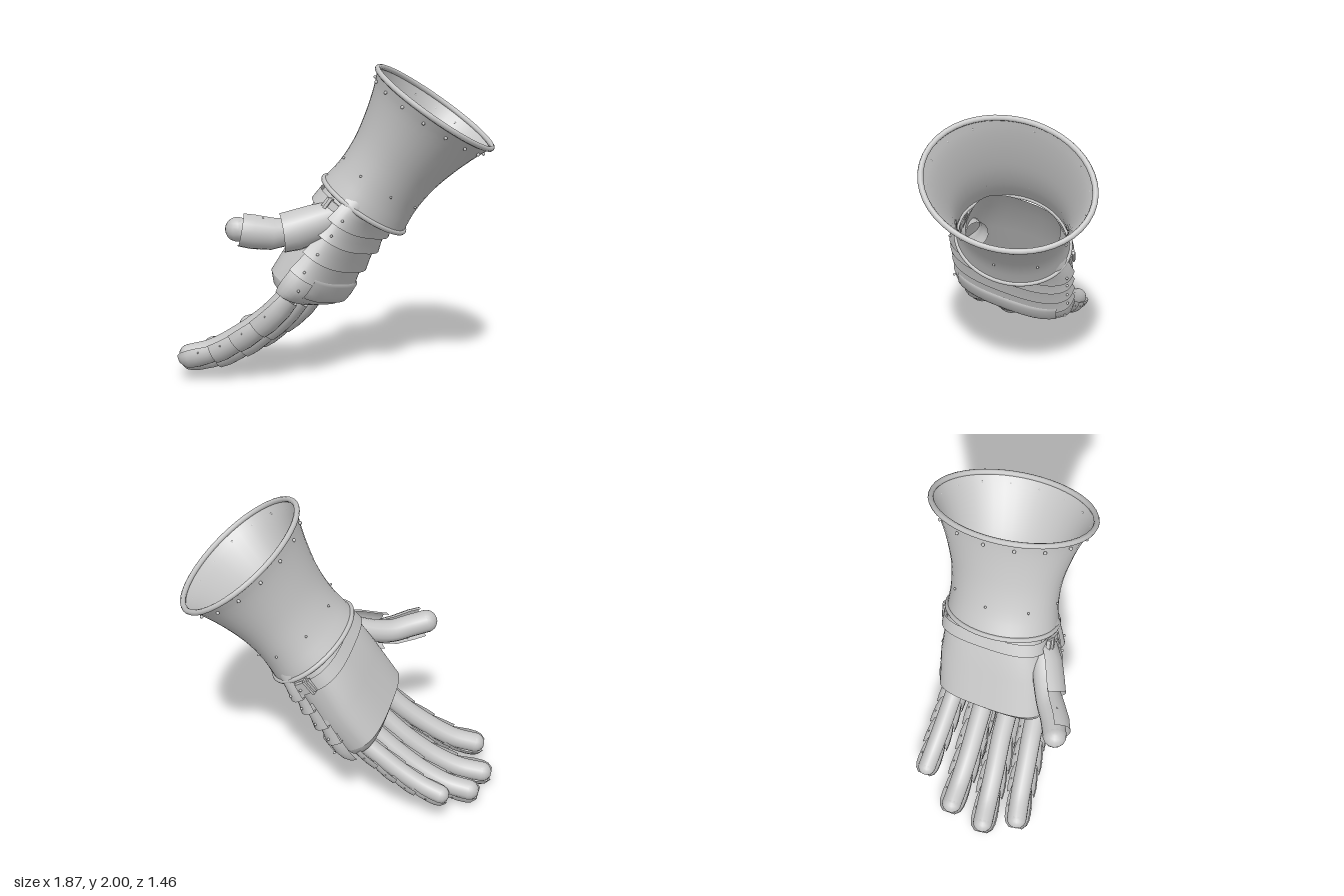
import * as THREE from 'three';

const V = (x, y, z) => new THREE.Vector3(x, y, z);
const steel = new THREE.MeshStandardMaterial({ color: 0xc6c6c6, side: THREE.DoubleSide });
steel.name = 'steel';

// Hand frame: x = back of hand, y = up the forearm, z = thumb side
const N = V(0.835, -0.55, 0).normalize();
const A = V(0.536, 0.81, -0.235).normalize();
const W = N.clone().cross(A).normalize();
const ORIGIN = V(0.15, 1.12, -0.03);

function add(parent, name, geometry, position) {
  const mesh = new THREE.Mesh(geometry, steel);
  mesh.name = name;
  if (position) mesh.position.copy(position);
  parent.add(mesh);
  return mesh;
}

// Surface through a list of cross-sections with equal point counts
function loft(rings, closed = false) {
  const n = rings[0].length, idx = [];
  for (let i = 0; i < rings.length - 1; i++) {
    for (let j = 0; j < (closed ? n : n - 1); j++) {
      const k = (j + 1) % n, a = i * n + j, b = i * n + k;
      idx.push(a, b, a + n, b, b + n, a + n);
    }
  }
  const g = new THREE.BufferGeometry().setFromPoints(rings.flat());
  g.setIndex(idx);
  g.computeVertexNormals();
  return g;
}

// Points of a rounded section at height y, between two angles
function section(y, rn, rw, { from = 0, to = Math.PI * 2, count = 40, power = 1, cn = 0, cw = 0, closed = false } = {}) {
  const soft = v => Math.sign(v) * Math.abs(v) ** power;
  return Array.from({ length: count + (closed ? 0 : 1) }, (_, i) => {
    const t = from + (to - from) * i / count;
    return V(cn + rn * soft(Math.cos(t)), y, cw + rw * soft(Math.sin(t)));
  });
}

function rivet(parent, p, r = 0.009) {
  add(parent, 'rivet', new THREE.SphereGeometry(r, 8, 6), p);
}

// Flared forearm cuff with rolled rims
function buildCuff(parent) {
  const profile = new THREE.CatmullRomCurve3([
    V(0.42, 0.757, 0.52), V(0.38, 0.66, 0.465), V(0.328, 0.5, 0.405),
    V(0.287, 0.32, 0.362), V(0.277, 0.15, 0.352), V(0.295, 0, 0.365)]);
  const ringAt = t => {
    const p = profile.getPoint(t);
    return section(p.y, p.x, p.z, { closed: true });
  };
  add(parent, 'cuff', loft(Array.from({ length: 17 }, (_, i) => ringAt(i / 16)), true));
  for (const [t, r] of [[0, 0.018], [1, 0.016]]) {
    const rim = new THREE.CatmullRomCurve3(ringAt(t), true);
    add(parent, 'cuffRim', new THREE.TubeGeometry(rim, 48, r, 8, true));
  }
  for (const [t, count, r] of [[0.13, 16, 0.011], [0.75, 8, 0.008]]) {
    const p = profile.getPoint(t);
    section(p.y, p.x + r * 0.8, p.z + r * 0.8, { count, closed: true }).forEach(q => rivet(parent, q, r));
  }
}

// Leather palm, closed at the knuckle end
function buildPalm(parent) {
  const palmRing = (y, lo, hi, w, extra = {}) =>
    section(y, (hi - lo) / 2, w, { cn: (hi + lo) / 2, cw: -0.01, power: 0.72, closed: true, ...extra });
  add(parent, 'palm', loft([
    palmRing(0.16, -0.2, 0.22, 0.29), palmRing(-0.08, -0.235, 0.15, 0.33),
    palmRing(-0.35, -0.205, 0.16, 0.365), palmRing(-0.64, -0.18, 0.15, 0.365)], true));
  add(parent, 'palmEnd', loft([palmRing(-0.64, -0.18, 0.15, 0.365), palmRing(-0.69, -0.12, 0.13, 0.345),
    palmRing(-0.72, -0.03, 0.1, 0.3), palmRing(-0.725, 0.03, 0.04, 0.02)], true));

  // Wrist strap across the palm with buckles at both ends
  const arc = { from: Math.PI * 0.45, to: Math.PI * 1.55, closed: false };
  add(parent, 'wristStrap', loft([palmRing(-0.04, -0.25, 0.17, 0.35, arc), palmRing(-0.13, -0.252, 0.17, 0.36, arc)]));
  for (const s of [-1, 1]) {
    add(parent, 'buckle', new THREE.BoxGeometry(0.12, 0.09, 0.025), V(-0.03, -0.08, s * 0.365));
    add(parent, 'bucklePin', new THREE.BoxGeometry(0.02, 0.11, 0.04), V(-0.06, -0.08, s * 0.37));
    rivet(parent, V(0.01, -0.08, s * 0.38));
  }
}

// Overlapping plates on the back of the hand
function buildLames(parent) {
  const lameRing = (y, top, w) => section(y, top - 0.03, w,
    { from: -Math.PI * 0.52, to: Math.PI * 0.52, count: 28, cn: 0.03, power: 0.75 });
  const edges = [0.03, -0.13, -0.245, -0.39, -0.53];
  for (let i = 0; i < 4; i++) {
    const grow = i * 0.007, y = edges[i + 1];
    add(parent, 'handLame', loft([
      lameRing(edges[i] + 0.04, i ? 0.15 + grow : 0.18, i ? 0.37 : 0.345),
      lameRing((edges[i] + y) / 2, 0.174 + grow, 0.395),
      lameRing(y, 0.195 + grow, 0.418)]));
    // Turned-under lower lip
    add(parent, 'lameLip', loft([lameRing(y, 0.195 + grow, 0.418), lameRing(y - 0.004, 0.165 + grow, 0.385)]));
    for (const s of [-1, 1]) rivet(parent, V(0.09, y + 0.045, s * 0.398));
  }
  // Knuckle plate curling over the finger roots
  add(parent, 'knucklePlate', loft([
    lameRing(-0.47, 0.195, 0.385), lameRing(-0.54, 0.212, 0.405), lameRing(-0.61, 0.212, 0.415),
    lameRing(-0.665, 0.19, 0.412), lameRing(-0.7, 0.15, 0.4)]));
  const band = { from: -Math.PI * 0.29, to: Math.PI * 0.29, count: 20, cn: 0.03, power: 0.75 };
  add(parent, 'knuckleBand', loft([[-0.49, 0.175], [-0.505, 0.193], [-0.58, 0.199], [-0.625, 0.194], [-0.635, 0.168]]
    .map(([y, r]) => section(y, r, 0.415, band))));
  for (const s of [-1, 1]) rivet(parent, V(0.13, -0.6, s * 0.395));
}

// Gloved digit with shingled plates on its outer side
function buildDigit(parent, name, points, radius, outward, spans, plateRadius) {
  const digit = new THREE.Group();
  digit.name = name;
  parent.add(digit);
  const path = new THREE.CatmullRomCurve3(points.map(p => V(...p)));
  add(digit, 'gloveTube', new THREE.TubeGeometry(path, 24, radius, 14));
  add(digit, 'gloveTip', new THREE.SphereGeometry(radius, 14, 10), path.getPoint(1));

  const arcAt = (t, r, push = 0) => {
    const tangent = path.getTangentAt(t);
    const up = outward.clone().addScaledVector(tangent, -outward.dot(tangent)).normalize();
    const side = tangent.clone().cross(up);
    const centre = path.getPointAt(t).addScaledVector(tangent, push);
    return Array.from({ length: 11 }, (_, i) => {
      const a = (i / 10 - 0.5) * Math.PI * 1.06;
      return centre.clone().addScaledVector(up, r * Math.cos(a)).addScaledVector(side, r * Math.sin(a));
    });
  };
  spans.forEach(([t0, t1], i) => {
    const r = plateRadius[i], at = f => t0 + (t1 - t0) * f;
    const rings = [arcAt(t0, r * 0.8), arcAt(at(0.35), r * 0.95), arcAt(at(0.75), r * 1.01), arcAt(t1, r * 0.98)];
    // The last plate closes round the fingertip
    if (t1 === 1) rings.push(arcAt(1, r * 0.85, radius * 0.55), arcAt(1, r * 0.5, radius));
    add(digit, 'digitPlate', loft(rings));
    const edge = arcAt(at(0.6), r * 0.96);
    for (const k of [1, 9]) rivet(digit, edge[k], 0.006);
  });
}

export function createModel() {
  const model = new THREE.Group();
  model.name = 'gauntlet';

  const hand = new THREE.Group();
  hand.name = 'cuffAndHand';
  hand.applyMatrix4(new THREE.Matrix4().makeBasis(N, A, W).setPosition(ORIGIN));
  model.add(hand);
  buildCuff(hand);
  buildPalm(hand);
  buildLames(hand);

  const fingers = {
    indexFinger: [[-0.1, 0.64, 0.38], [-0.17, 0.55, 0.42], [-0.27, 0.445, 0.455], [-0.42, 0.325, 0.51], [-0.6, 0.215, 0.575], [-0.745, 0.17, 0.635]],
    middleFinger: [[-0.13, 0.6, 0.2], [-0.21, 0.5, 0.235], [-0.37, 0.345, 0.28], [-0.55, 0.205, 0.34], [-0.72, 0.12, 0.395], [-0.87, 0.09, 0.445]],
    ringFinger: [[-0.13, 0.6, 0.04], [-0.21, 0.5, 0.06], [-0.37, 0.355, 0.095], [-0.55, 0.22, 0.135], [-0.72, 0.135, 0.17], [-0.87, 0.105, 0.2]],
    littleFinger: [[-0.14, 0.63, -0.15], [-0.22, 0.55, -0.14], [-0.36, 0.445, -0.12], [-0.5, 0.345, -0.1], [-0.64, 0.265, -0.08], [-0.765, 0.215, -0.06]],
  };
  const spans = [[0.1, 0.42], [0.37, 0.62], [0.57, 0.81], [0.76, 1]];
  for (const [name, points] of Object.entries(fingers)) {
    const k = name === 'littleFinger' ? 0.9 : 1;
    buildDigit(model, name, points, 0.066 * k, N, spans, [0.104, 0.103, 0.098, 0.089].map(r => r * k));
  }

  buildDigit(model, 'thumb',
    [[0.16, 1.1, 0.22], [0.07, 1.065, 0.315], [-0.06, 1.01, 0.41], [-0.17, 0.985, 0.5], [-0.26, 1.0, 0.585], [-0.35, 1.02, 0.655]],
    0.075, V(0.62, -0.1, 0.78), [[0.1, 0.6], [0.54, 0.97]], [0.125, 0.105]);
  return model;
}
